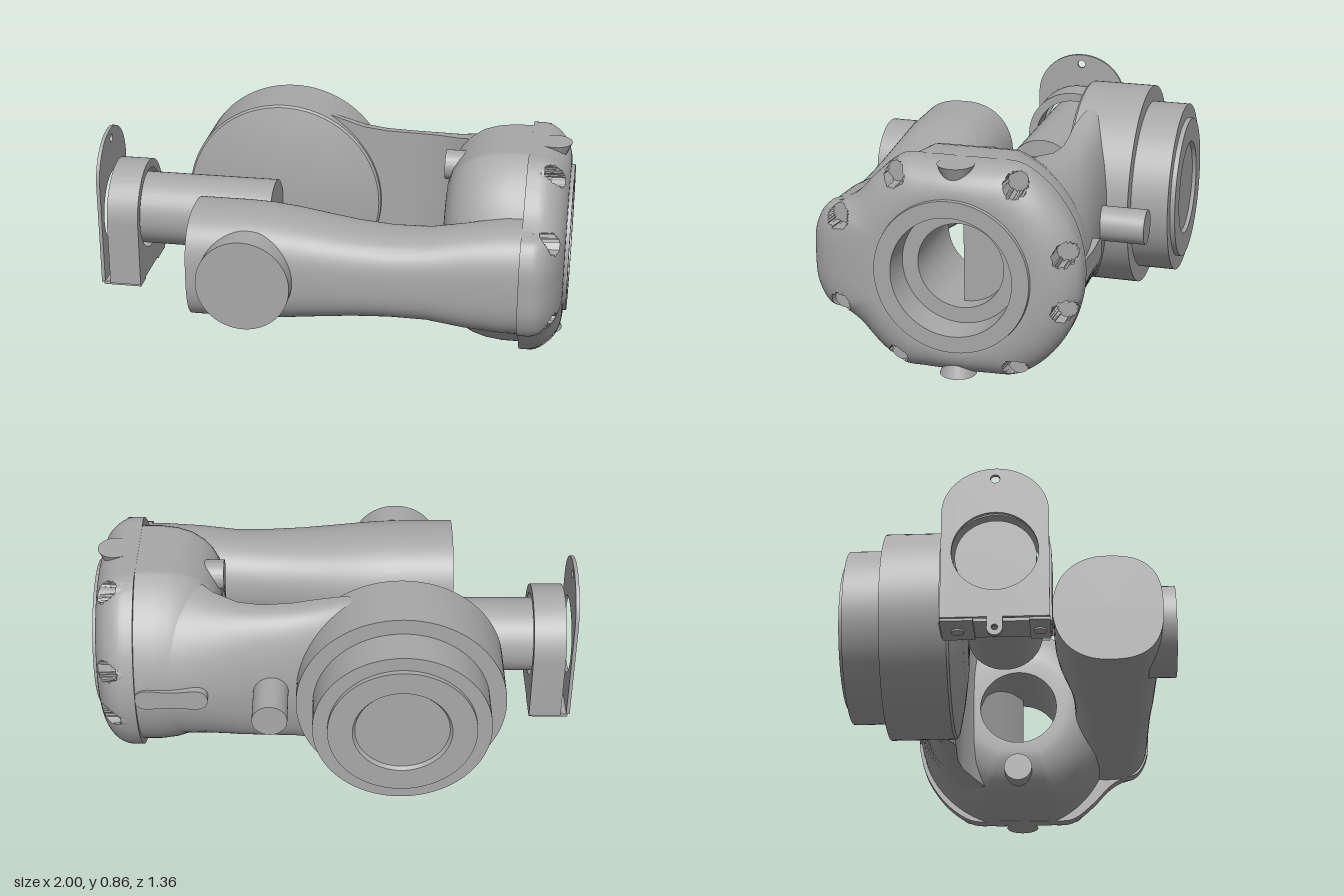
import * as THREE from 'three';
import { toCreasedNormals } from 'three/addons/utils/BufferGeometryUtils.js';

const grey = new THREE.MeshStandardMaterial({ color: 0xa8a8a8 });
grey.name = 'machinedGrey';
const CY = 0.4325; // height of the main axis
const DISC_X = -0.267; // fork joint axis

export function createModel() {
  const root = new THREE.Group();

  function add(name, geometry, crease = 0.6) {
    const mesh = new THREE.Mesh(toCreasedNormals(geometry, crease), grey);
    mesh.name = name;
    root.add(mesh);
    return mesh;
  }

  // Skin a list of rings; rings run z -> y -> -z as seen along x
  function loft(rings, looped = false) {
    const n = rings[0].length, pos = [], idx = [];
    rings.forEach((r) => r.forEach((p) => pos.push(p.x, p.y, p.z)));
    const spans = looped ? rings.length : rings.length - 1;
    for (let i = 0; i < spans; i++) {
      const a = i * n, b = ((i + 1) % rings.length) * n;
      for (let j = 0; j < n; j++) {
        const k = (j + 1) % n;
        idx.push(a + j, b + j, b + k, a + j, b + k, a + k);
      }
    }
    if (!looped) {
      [0, rings.length - 1].forEach((ri) => {
        const c = new THREE.Vector3();
        rings[ri].forEach((p) => c.addScaledVector(p, 1 / n));
        const ci = pos.length / 3;
        pos.push(c.x, c.y, c.z);
        for (let j = 0; j < n; j++) {
          const p = ri * n + j, q = ri * n + ((j + 1) % n);
          if (ri === 0) idx.push(ci, p, q);
          else idx.push(ci, q, p);
        }
      });
    }
    const g = new THREE.BufferGeometry();
    g.setAttribute('position', new THREE.Float32BufferAttribute(pos, 3));
    g.setIndex(idx);
    return g;
  }

  // Cylinder along x or z, between two coordinates
  function rod(name, axis, r, from, to, a, b) {
    const g = new THREE.CylinderGeometry(r, r, to - from, 48);
    const mid = (from + to) / 2;
    if (axis === 'x') g.rotateZ(Math.PI / 2).translate(mid, a, b);
    else g.rotateX(Math.PI / 2).translate(a, b, mid);
    return add(name, g);
  }

  // Shape drawn in (-z, y), extruded along x
  function extrudeX(name, shape, x, depth) {
    const g = new THREE.ExtrudeGeometry(shape, { depth, bevelEnabled: false, curveSegments: 32 });
    return add(name, g.rotateY(Math.PI / 2).translate(x, 0, 0));
  }
  const hole = (x, y, r) => new THREE.Path().absarc(x, y, r, 0, Math.PI * 2, true);

  // Round joint housing
  const housing = [[0, -0.665], [0.19, -0.665], [0.2, -0.68], [0.3, -0.68], [0.3, -0.66], [0.36, -0.66],
    [0.36, -0.505], [0.428, -0.505], [0.428, -0.24], [0.42, -0.23], [0.32, -0.208], [0.2, -0.19], [0, -0.18]];
  add('jointHousing', new THREE.LatheGeometry(housing.map(([r, z]) => new THREE.Vector2(r, z)), 96)
    .rotateX(Math.PI / 2).translate(DISC_X, CY, 0), 0.3);

  // Front fork arm: rounded inside, squarer outside [x, half height, inner z, outer z]
  const frontArm = [[-0.51, 0.232, 0.175, 0.62], [-0.3, 0.232, 0.175, 0.62], [-0.2, 0.228, 0.177, 0.616],
    [-0.1, 0.218, 0.186, 0.613], [0, 0.205, 0.201, 0.61], [0.15, 0.187, 0.226, 0.605], [0.3, 0.178, 0.242, 0.6],
    [0.45, 0.183, 0.25, 0.59], [0.6, 0.21, 0.245, 0.585], [0.75, 0.23, 0.2, 0.582], [0.86, 0.232, 0.2, 0.578]];
  add('frontArm', loft(frontArm.map(([x, h, zi, zo]) => {
    const ring = [], mid = (zi + zo) / 2, d = (zo - zi) / 2;
    for (let j = 0; j < 72; j++) {
      const a = (j / 72) * Math.PI * 2, c = Math.cos(a), s = Math.sin(a);
      const e = c > 0 ? 2 / 2.7 : 2 / 2.2;
      ring.push(new THREE.Vector3(x, CY + h * Math.sign(s) * Math.abs(s) ** e, mid + d * Math.sign(c) * Math.abs(c) ** e));
    }
    return ring;
  })));
  rod('frontPivotDisc', 'z', 0.19, 0.56, 0.675, DISC_X, CY);

  // Back fork arm: curved outside, flat inside [x, half height, outer z, inner z]
  const backArm = [[-0.12, 0.39, -0.4, -0.3], [-0.02, 0.37, -0.405, -0.27], [0.08, 0.345, -0.413, -0.255],
    [0.18, 0.33, -0.42, -0.26], [0.3, 0.325, -0.428, -0.265], [0.4, 0.328, -0.436, -0.25], [0.5, 0.34, -0.448, -0.2],
    [0.6, 0.37, -0.46, -0.12], [0.7, 0.395, -0.47, -0.05], [0.8, 0.415, -0.478, 0]];
  add('backArm', loft(backArm.map(([x, h, zo, zi], i) => {
    const ring = [], e = 0.6 + 0.04 * i;
    for (let j = 0; j <= 48; j++) {
      const a = (j / 48) * Math.PI;
      ring.push(new THREE.Vector3(x, CY + h * Math.cos(a), zi + (zo - zi) * Math.max(0, Math.sin(a)) ** e));
    }
    for (let j = 1; j < 12; j++) ring.push(new THREE.Vector3(x, CY - h + (2 * h * j) / 12, zi));
    return ring;
  })));
  rod('backStub', 'z', 0.072, -0.61, -0.38, 0.265, CY);

  // Peanut-shaped cover on the back arm
  const peanut = new THREE.Shape();
  for (let j = 0; j < 64; j++) {
    const a = (j / 64) * Math.PI * 2;
    const px = 0.67 + 0.15 * Math.cos(a);
    const py = CY + Math.sin(a) * (0.065 + 0.025 * Math.cos(a * 2 + Math.PI) * -1);
    if (j === 0) peanut.moveTo(px, py);
    else peanut.lineTo(px, py);
  }
  add('armCover', new THREE.ExtrudeGeometry(peanut, { depth: 0.06, bevelEnabled: false }).translate(0, 0, -0.483));

  // Outlines around the shoulder axis
  const N = 360, HOLE_Z = -0.008;
  const half = [[0.585, 0], [0.575, 0.12], [0.53, 0.2], [0.455, 0.228], [0.4, 0.265], [0.32, 0.35], [0.225, 0.422],
    [0.12, 0.4275], [0, 0.4275], [-0.14, 0.4275], [-0.24, 0.42], [-0.35, 0.345], [-0.44, 0.22], [-0.48, 0.1], [-0.49, 0]];
  const outlinePts = [...half, ...half.slice(1, -1).reverse().map(([z, y]) => [z, -y])]
    .map(([z, y]) => new THREE.Vector3(0, CY + y, z));
  const capOutline = new THREE.CatmullRomCurve3(outlinePts, true).getSpacedPoints(N).slice(0, N);
  const angleOf = (p) => Math.atan2(p.y - CY, p.z - HOLE_Z);
  const circle = (x, r) => capOutline.map((p) => {
    const a = angleOf(p);
    return new THREE.Vector3(x, CY + r * Math.sin(a), HOLE_Z + r * Math.cos(a));
  });
  const domeRing = (x, s) => capOutline.map((p) => {
    const a = angleOf(p), c = Math.cos(a);
    const y = THREE.MathUtils.clamp(0.46 * Math.sin(a), -0.426, 0.426);
    return new THREE.Vector3(x, CY + s * y, s * c * (c > 0 ? 0.405 : 0.475));
  });

  // Domed shoulder with a through bore
  const dome = [[0.48, 0.5], [0.484, 0.58], [0.5, 0.7], [0.525, 0.79], [0.56, 0.87], [0.61, 0.94], [0.67, 0.98], [0.74, 1], [0.83, 1]];
  add('shoulder', loft([...dome.map(([x, s]) => domeRing(x, s)), circle(0.83, 0.172), circle(0.48, 0.172)], true));
  [-1, 1].forEach((s) => rod('shoulderBoss', 'x', 0.062, 0.465, 0.62, CY + s * 0.295, -0.01));

  // End cap: outline rounds over into a raised ring, with a stepped bore
  const capRings = [circle(0.815, 0.172), capOutline.map((p) => new THREE.Vector3(0.815, p.y, p.z))];
  const M = 36;
  for (let i = 0; i <= M; i++) {
    const q = (i / M) * Math.PI / 2;
    const x = 0.855 + 0.13 * Math.sin(q), t = 1 - Math.cos(q);
    const inner = circle(x, 0.312);
    capRings.push(capOutline.map((p, j) => new THREE.Vector3(x, p.y, p.z).lerp(inner[j], t)));
  }

  // Bolt recesses sunk into the rounded rim
  const bolts = [[0.23, 0.37], [0.46, 0.178], [-0.245, 0.37], [-0.435, 0.113]].flatMap(([z, y]) => [[z, CY + y], [z, CY - y]]);
  const R = 0.042;
  capRings.slice(3).forEach((ring) => ring.forEach((p) => bolts.forEach(([z, y]) => {
    const dz = p.z - z, dy = p.y - y, d = Math.hypot(dz, dy);
    if (d > R + 0.004) return;
    if (d > R - 0.005) {
      p.z = z + (dz * R) / d;
      p.y = y + (dy * R) / d;
    }
    if (d < R) p.x = Math.min(p.x, 0.885);
  })));
  capRings.push(circle(0.985, 0.308), circle(1, 0.306), circle(1, 0.24), circle(0.87, 0.235), circle(0.87, 0.172));
  add('endCap', loft(capRings, true));

  // Tapered lugs at the top and bottom of the cap
  [-1, 1].forEach((s) => {
    const g = new THREE.CylinderGeometry(s > 0 ? 0.072 : 0.03, s > 0 ? 0.03 : 0.072, 0.1, 32);
    add('capLug', g.translate(0.912, CY + s * 0.377, -0.008));
  });

  // Motor barrel and its collar
  const MZ = -0.028;
  rod('motorBarrel', 'x', 0.156, -0.95, -0.265, CY, MZ);
  const collar = new THREE.Shape().moveTo(-MZ - 0.213, 0.155).lineTo(-MZ + 0.213, 0.155).lineTo(-MZ + 0.213, CY);
  collar.absarc(-MZ, CY, 0.213, 0, Math.PI, false);
  collar.closePath();
  collar.holes.push(hole(-MZ, CY, 0.175));
  extrudeX('motorCollar', collar, -0.96, 0.135);

  // Mounting plate with arched top, opening and lower tongue
  const u = -MZ;
  const plate = new THREE.Shape().moveTo(u - 0.205, 0.155).lineTo(u - 0.03, 0.155).lineTo(u - 0.03, 0.11);
  plate.absarc(u, 0.11, 0.03, Math.PI, Math.PI * 2, false);
  plate.lineTo(u + 0.03, 0.155).lineTo(u + 0.205, 0.155).lineTo(u + 0.205, 0.6);
  plate.absellipse(u, 0.6, 0.205, 0.19, 0, Math.PI, false, 0);
  plate.closePath();
  plate.holes.push(hole(u, CY, 0.165), hole(u, 0.745, 0.018), hole(u, 0.112, 0.012));
  extrudeX('mountPlate', plate, -1, 0.015);

  // Bent feet under the collar with screw heads
  [[-0.235, -0.11], [0.1, 0.178]].forEach(([z0, z1]) => {
    add('mountFoot', new THREE.BoxGeometry(0.165, 0.014, z1 - z0).translate(-0.9075, 0.152, (z0 + z1) / 2));
    add('footScrew', new THREE.CylinderGeometry(0.024, 0.024, 0.008, 24).translate(-0.9, 0.142, (z0 + z1) / 2));
  });

  return root;
}
